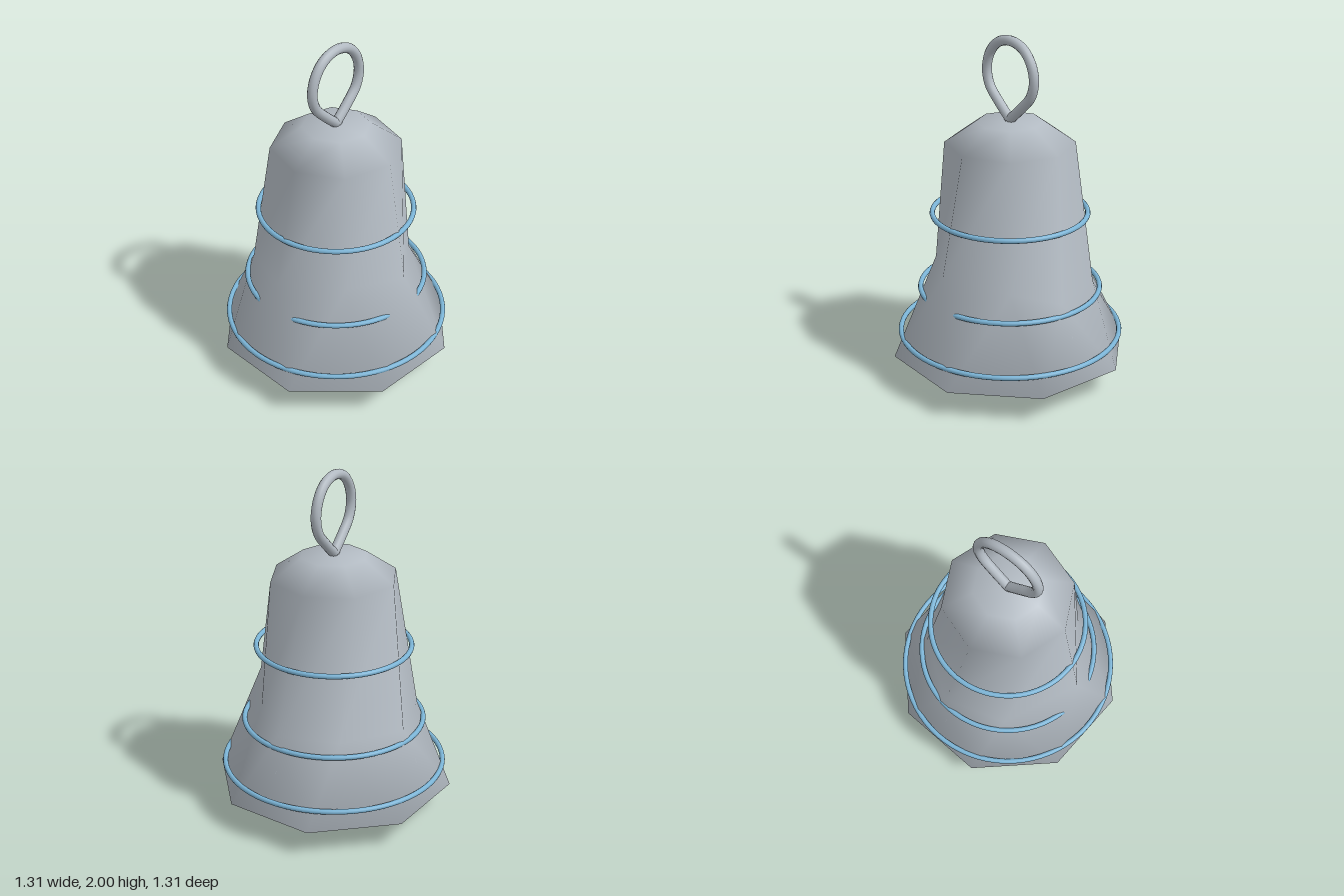
import * as THREE from 'three';

const rad = THREE.MathUtils.degToRad;
const bellGrey = new THREE.MeshStandardMaterial({ name: 'bell grey', color: 0xb2bac2 });
const trimBlue = new THREE.MeshStandardMaterial({ name: 'trim blue', color: 0x7bb4d6 });

function addMesh(group, name, geometry, material) {
  const mesh = new THREE.Mesh(geometry, material);
  mesh.name = name;
  group.add(mesh);
  return mesh;
}

// Ring of eight corners, each [angle in degrees, radius, height]
const ring = (offset, radius, y) =>
  Array.from({ length: 8 }, (_, k) => [offset + 45 * k, Array.isArray(radius) ? radius[k % 2] : radius, y]);

// Smooth skin through successive eight-corner rings
function loft(rings) {
  const pos = [], index = [];
  for (const r of rings)
    for (const [a, radius, y] of r) pos.push(radius * Math.cos(rad(a)), y, -radius * Math.sin(rad(a)));
  for (let i = 0; i < rings.length - 1; i++) {
    for (let k = 0; k < 8; k++) {
      const a = i * 8 + k, b = i * 8 + (k + 1) % 8, c = a + 8, d = b + 8;
      index.push(a, c, b, c, d, b);
    }
  }
  const g = new THREE.BufferGeometry();
  g.setAttribute('position', new THREE.Float32BufferAttribute(pos, 3));
  g.setIndex(index);
  g.computeVertexNormals();
  return g;
}

export function createModel() {
  const group = new THREE.Group();
  group.name = 'bell';

  // Uneven waist, where the wall starts to flare
  const waist = [
    [-8, 0.505, 0.6], [34, 0.485, 0.6], [80, 0.505, 0.6], [124, 0.485, 0.6],
    [180, 0.5, 0.72], [228, 0.425, 0.71], [270, 0.5, 0.72], [318, 0.43, 0.66],
  ];
  // Outer wall, rim and four-sided mouth in one smooth skin
  addMesh(group, 'bellBody', loft([
    ring(3, 0.001, 1.522),
    ring(3, 0.19, 1.52),
    ring(3, 0.365, 1.4),
    waist,
    ring(17.8, 0.69, 0.155),
    ring(-4.7, [0.615, 0.435], 0.155),
    ring(-4.7, [0.56, 0.4], 0.42),
  ]), bellGrey).material.side = THREE.DoubleSide;

  // Ceiling inside the mouth
  const ceiling = addMesh(group, 'innerCeiling', new THREE.CircleGeometry(0.43, 40), bellGrey);
  ceiling.rotation.x = Math.PI / 2;
  ceiling.position.y = 0.37;

  // Teardrop hanging loop
  const half = [[0, 1.53], [0.09, 1.61], [0.165, 1.69], [0.19, 1.78], [0.165, 1.875], [0.1, 1.945]];
  const loopPoints = [
    ...half, [0, 1.972], ...half.slice().reverse().map(([x, y]) => [-x, y]),
  ].map(([x, y]) => new THREE.Vector3(x, y, 0));
  addMesh(group, 'hangingLoop',
    new THREE.TubeGeometry(new THREE.CatmullRomCurve3(loopPoints), 72, 0.028, 12), bellGrey);

  // Decorative bands
  for (const [name, radius, y] of [['upperBand', 0.44, 0.988], ['middleBand', 0.517, 0.535], ['lowerBand', 0.637, 0.267]]) {
    const band = addMesh(group, name, new THREE.TorusGeometry(radius, 0.015, 10, 72), trimBlue);
    band.rotation.x = Math.PI / 2;
    band.position.y = y;
  }

  // Faceted clapper
  const profile = [[0, 0], [0.071, 0.1], [0.045, 0.38]].map(([x, y]) => new THREE.Vector2(x, y));
  const clapper = new THREE.LatheGeometry(profile, 4, rad(-12)).toNonIndexed();
  clapper.computeVertexNormals();
  addMesh(group, 'clapper', clapper, trimBlue);

  return group;
}
